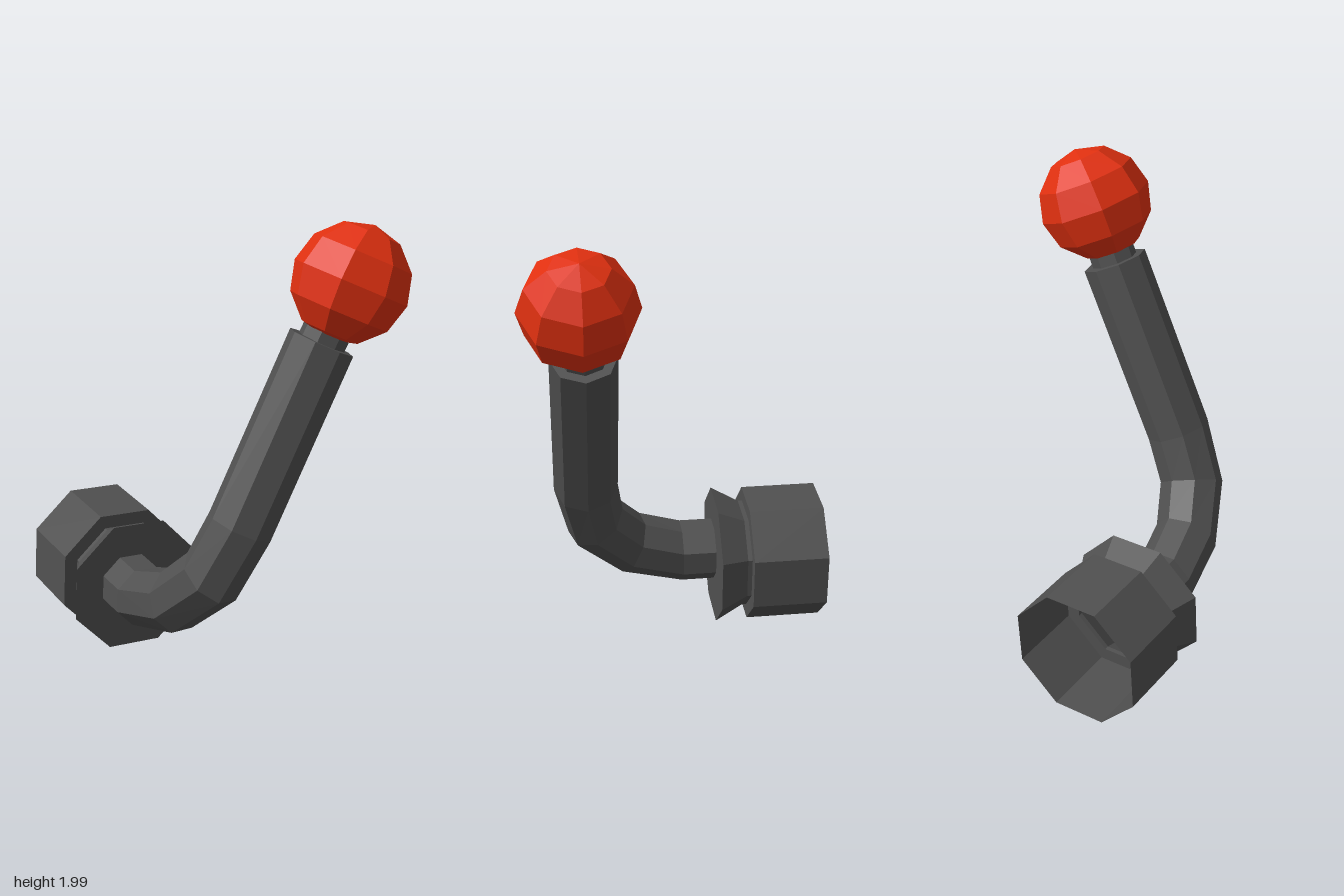
import * as THREE from 'three';

const dark = new THREE.MeshStandardMaterial({ color: 0x505050, flatShading: true, side: THREE.DoubleSide });
const red = new THREE.MeshStandardMaterial({ color: 0xe03010, flatShading: true });
const SIDES = 8;

// Sweep an octagon along rings [y, z, tilt in degrees, radius] lying in the yz plane
function sweep(rings) {
  const pos = [], index = [];
  rings.forEach(([y, z, tilt, r], i) => {
    const t = THREE.MathUtils.degToRad(tilt);
    for (let j = 0; j < SIDES; j++) {
      const a = (j / SIDES) * Math.PI * 2;
      const n = r * Math.sin(a);
      pos.push(r * Math.cos(a), y + n * Math.cos(t), z - n * Math.sin(t));
      if (i === 0) continue;
      const k = (j + 1) % SIDES, lo = (i - 1) * SIDES, hi = i * SIDES;
      index.push(lo + j, lo + k, hi + k, lo + j, hi + k, hi + j);
    }
  });
  const g = new THREE.BufferGeometry();
  g.setAttribute('position', new THREE.Float32BufferAttribute(pos, 3));
  g.setIndex(index);
  const flat = g.toNonIndexed();
  flat.computeVertexNormals();
  return flat;
}

// Octagonal shell turned about the z axis from [radius, z] points
function turned(points) {
  const profile = points.map(([r, z]) => new THREE.Vector2(r, z));
  return new THREE.LatheGeometry(profile, SIDES).rotateX(Math.PI / 2);
}

function add(parent, name, geometry, material) {
  const mesh = new THREE.Mesh(geometry, material);
  mesh.name = name;
  parent.add(mesh);
  return mesh;
}

export function createModel() {
  const model = new THREE.Group();
  model.name = 'lever';

  // Everything leans to the side about the base axis
  const lever = new THREE.Group();
  lever.name = 'leaningLever';
  lever.position.set(-0.3075, 0.3025, 0);
  lever.rotation.z = THREE.MathUtils.degToRad(-26);
  model.add(lever);

  // Flared collar with a flat front, and the socket open at the back
  add(lever, 'collar', turned([[0.245, -0.345], [0.245, -0.325], [0.3135, -0.2], [0, -0.2]]), dark);
  add(lever, 'socket', turned([[0.308, -0.685], [0.308, -0.345], [0.245, -0.345]]), dark);

  // Bent arm, stepping down to a thin neck under the knob
  const arm = add(lever, 'arm', sweep([
    [0, -0.2, 0, 0.14],
    [0, -0.05, 0, 0.14],
    [0.086, 0.185, 27, 0.14],
    [0.27, 0.352, 60, 0.14],
    [0.515, 0.397, 87, 0.14],
    [1.337, 0.414, 88, 0.14],
    [1.337, 0.414, 88, 0.1],
    [1.45, 0.42, 88, 0.1],
  ]), dark);
  arm.position.x = -0.036;

  // Round knob
  const knob = add(lever, 'knob', new THREE.SphereGeometry(0.245, SIDES, 6), red);
  knob.position.set(-0.036, 1.6, 0.435);

  return model;
}
